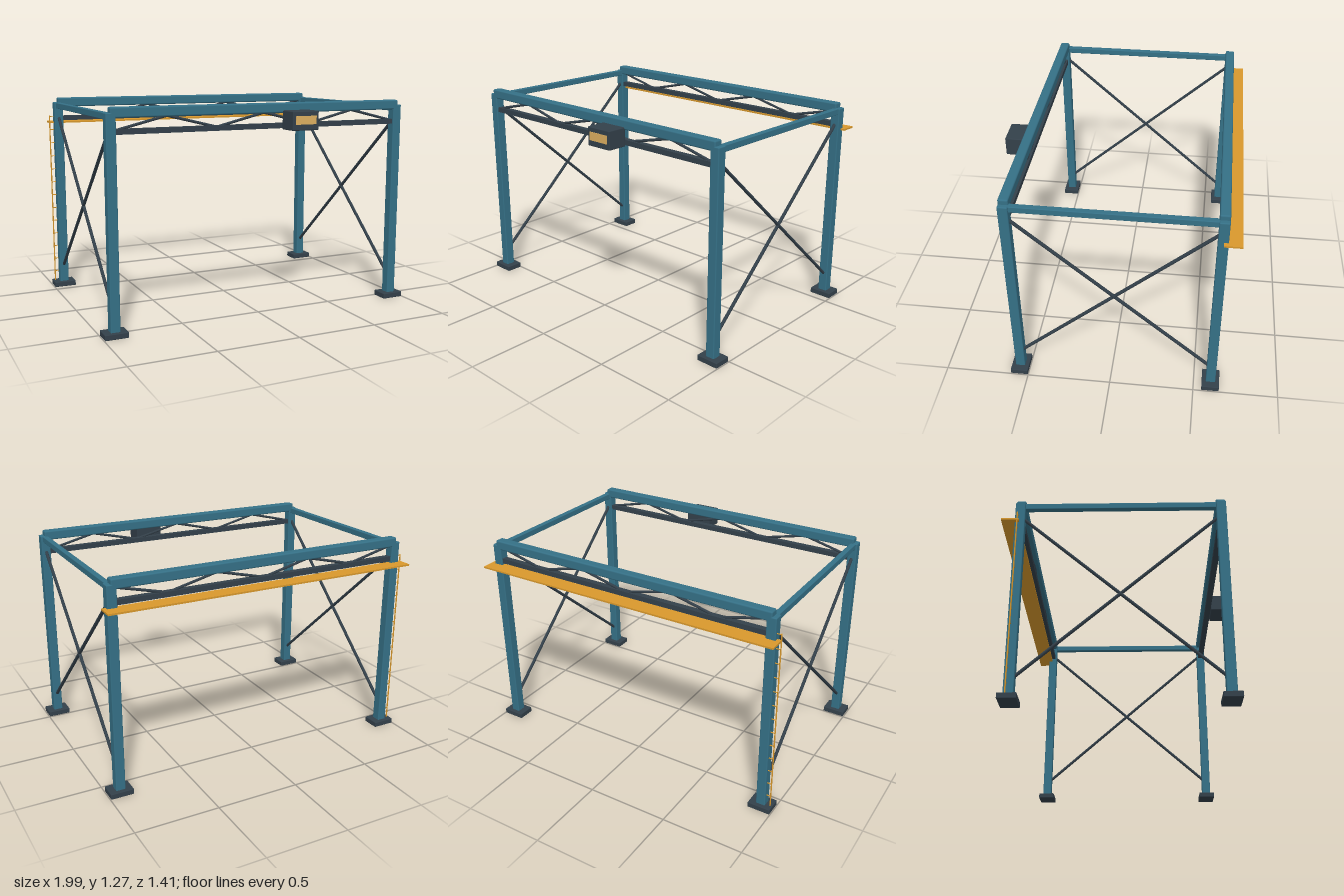
import * as THREE from 'three';
import { RoundedBoxGeometry } from 'three/addons/geometries/RoundedBoxGeometry.js';

const paint = (color) => new THREE.MeshStandardMaterial({ color });

export function createModel() {
  const model = new THREE.Group();
  const teal = paint(0x357086), dark = paint(0x33404a);
  const gold = paint(0xd8982c), amber = paint(0xdcae60);

  // Box given by its limits on each axis, with optional rounded edges
  function block(name, [x0, x1], [y0, y1], [z0, z1], material, radius = 0) {
    const size = [x1 - x0, y1 - y0, z1 - z0];
    const geometry = radius
      ? new RoundedBoxGeometry(...size, 2, radius)
      : new THREE.BoxGeometry(...size);
    const mesh = new THREE.Mesh(geometry, material);
    mesh.name = name;
    mesh.position.set((x0 + x1) / 2, (y0 + y1) / 2, (z0 + z1) / 2);
    model.add(mesh);
    return mesh;
  }

  // Square or round bar between two points
  function bar(name, from, to, radius, material, sides = 8) {
    const a = new THREE.Vector3(...from), b = new THREE.Vector3(...to);
    const mesh = new THREE.Mesh(
      new THREE.CylinderGeometry(radius, radius, a.distanceTo(b), sides), material);
    mesh.name = name;
    mesh.position.copy(a).add(b).multiplyScalar(0.5);
    mesh.quaternion.setFromUnitVectors(new THREE.Vector3(0, 1, 0), b.sub(a).normalize());
    model.add(mesh);
  }

  const around = (centre, width) => [centre - width / 2, centre + width / 2];
  const postX = 0.927, frontZ = 0.554, backZ = -0.601;

  // Posts on base plates
  for (const x of [-postX, postX]) {
    for (const z of [frontZ, backZ]) {
      block('basePlate', around(x, 0.139), [0, 0.033], around(z, 0.104), dark, 0.004);
      block('post', around(x, 0.057), [0.02, 1.242], around(z, 0.057), teal, 0.006);
    }
  }

  // Front and back trusses: top beam, lower chord and zigzag web
  [frontZ, backZ].forEach((z, side) => {
    block('topBeam', [-0.93, 0.93], [1.214, 1.272], around(z, 0.057), teal, 0.009);
    block('lowerChord', [-0.91, 0.91], [1.124, 1.154], around(z, 0.036), dark);
    for (let i = 0; i < 6; i++) {
      const x = -0.9 + i * 0.3;
      const rising = (i + side) % 2 === 0;
      const low = 1.145, high = 1.218;
      bar('webMember', [x, rising ? low : high, z], [x + 0.3, rising ? high : low, z], 0.008, dark);
    }
  });

  // Side beams and crossed braces
  for (const x of [-postX, postX]) {
    block('sideBeam', around(x, 0.034), [1.203, 1.24], [backZ, frontZ], teal, 0.004);
    bar('crossBrace', [x, 1.16, frontZ], [x, 0.13, backZ], 0.01, dark);
    bar('crossBrace', [x, 0.13, frontZ], [x, 1.16, backZ], 0.01, dark);
  }

  // Walkway plank along the back
  block('walkway', [-0.98, 0.98], [1.105, 1.115], [-0.704, -0.604], gold);

  // Control box with its screen
  block('controlBox', [0.111, 0.283], [1.117, 1.229], [0.575, 0.7], dark, 0.006);
  block('screen', [0.129, 0.265], [1.152, 1.201], [0.69, 0.704], amber);

  // Ladder on the outside of a back post
  const ladderX = -0.982, ladderZ = -0.612;
  bar('ladderRail', [ladderX, 0.03, ladderZ], [ladderX, 1.155, ladderZ], 0.004, gold);
  for (let i = 0; i < 13; i++) {
    const y = 0.1 + i * 0.0875;
    bar('ladderRung', [ladderX, y, ladderZ], [-0.95, y, ladderZ], 0.003, gold);
  }

  return model;
}
